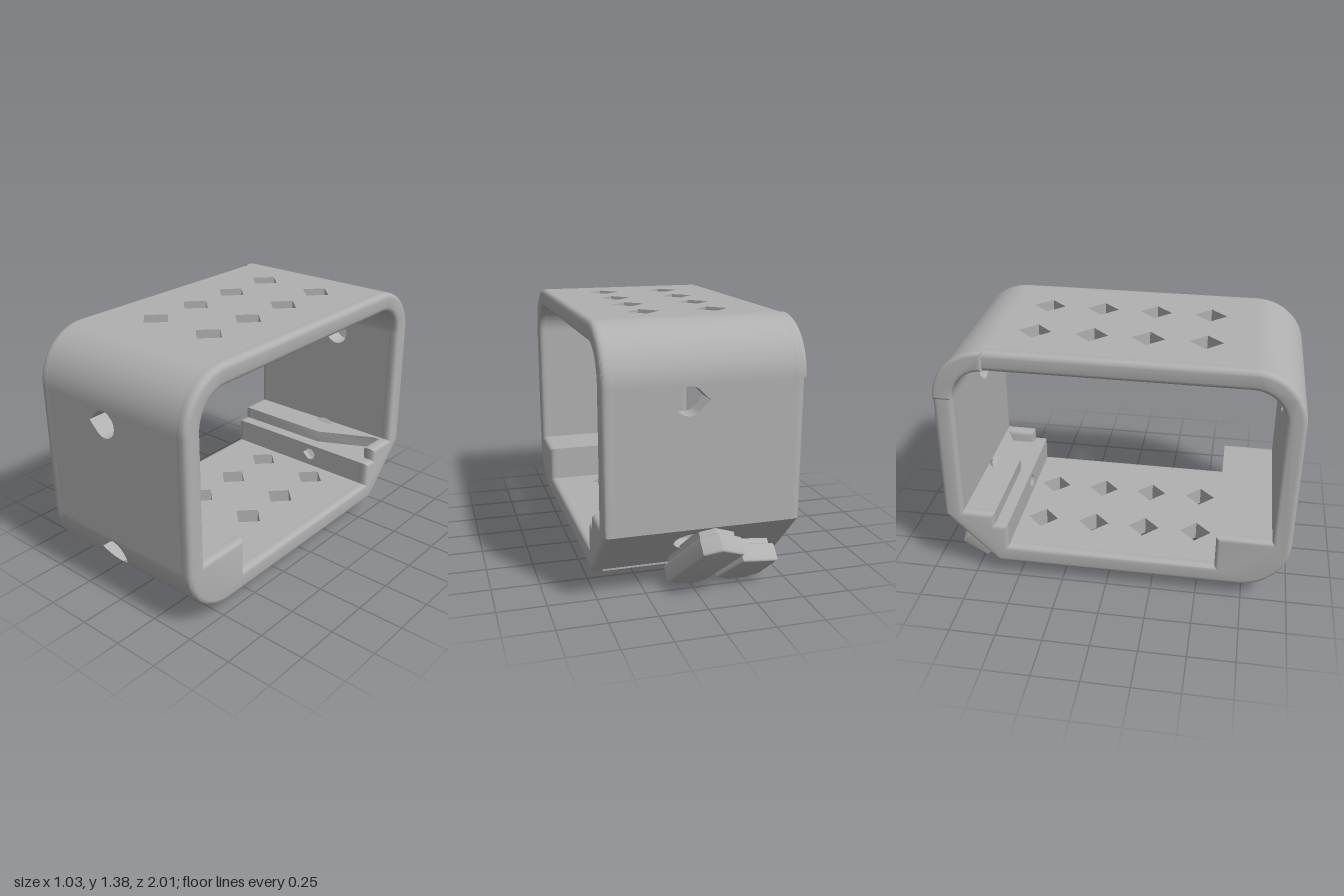
import * as THREE from 'three';
import { toCreasedNormals } from 'three/addons/utils/BufferGeometryUtils.js';

const PI = Math.PI;
const R = 0.28, T = 0.105;                    // corner radius, wall thickness
const ZF = 0.72, ZB = -0.62, YT = 1.095, YB = 0.365; // corner arc centres
const W = 0.45, END = 0.503;                  // half width of panels and of rims

export function createModel() {
  const grey = new THREE.MeshStandardMaterial({ color: 0xb0b0b0, side: THREE.DoubleSide });
  grey.name = 'grey plastic';
  const model = new THREE.Group();
  model.name = 'bracketFrame';
  const body = new THREE.Group();
  body.name = 'body';
  body.rotation.set(0.006, 0.006, 0);
  body.position.z = -0.006;
  model.add(body);

  const add = (name, geo) => {
    const mesh = new THREE.Mesh(toCreasedNormals(geo, 0.6), grey);
    mesh.name = name;
    body.add(mesh);
  };
  const poly = (pts) => new THREE.Shape(pts.map(([a, b]) => new THREE.Vector2(a, b)));
  const rect = (x0, x1, y0, y1) => poly([[x0, y0], [x1, y0], [x1, y1], [x0, y1]]);
  const diamond = (x, y, s) => poly([[x - s, y], [x, y - s], [x + s, y], [x, y + s]]);
  const circle = (x, y, r) => new THREE.Shape().absarc(x, y, r, 0, 2 * PI, false);
  // round hole with a 90 degree point towards -x
  const teardrop = (x, y, r) => {
    const s = new THREE.Shape();
    s.absarc(x, y, r, -0.75 * PI, 0.75 * PI, false);
    s.lineTo(x - r * Math.SQRT2, y);
    s.closePath();
    return s;
  };
  const extrude = (shape, depth, bevel = 0) => new THREE.ExtrudeGeometry(shape, {
    depth: depth - 2 * bevel, curveSegments: 14, bevelEnabled: bevel > 0,
    bevelSize: bevel, bevelThickness: bevel, bevelOffset: -bevel, bevelSegments: 3,
  }).translate(0, 0, bevel);
  // profile drawn as (z, y), swept from x0 to x1
  const alongX = (shape, x0, x1, bevel = 0) =>
    extrude(shape, x1 - x0, bevel).rotateY(-PI / 2).translate(x1, 0, 0);
  const plate = (shape, z0, z1) => extrude(shape, z1 - z0).translate(0, 0, z0);
  const corner = (z, y, a) => {
    const s = new THREE.Shape();
    s.absarc(z, y, R, a, a + PI / 2, false);
    s.absarc(z, y, R - T, a + PI / 2, a, true);
    s.closePath();
    return s;
  };

  // top and bottom panels with diamond openings
  for (const [name, y] of [['topPanel', YT + R - T], ['bottomPanel', YB - R]]) {
    const s = rect(-W, W, -ZF, -ZB);
    for (const x of [-0.19, 0.175])
      for (const z of [-0.42, -0.12, 0.175, 0.475]) s.holes.push(diamond(x, -z, 0.087));
    add(name, extrude(s, T).rotateX(-PI / 2).translate(0, y, 0));
  }

  // front and back walls with teardrop holes
  const front = rect(-W, W, YB, YT);
  front.holes.push(teardrop(-0.04, 1.01, 0.072));
  add('frontWall', plate(front, ZF + R - T, ZF + R));
  const back = rect(-W, W, 0.375, YT);
  back.holes.push(teardrop(0.08, 1.015, 0.072));
  add('backWall', plate(back, ZB - R, ZB - R + T));

  // rounded upper corners and the overhanging lip
  add('topFrontCorner', alongX(corner(ZF, YT, 0), -W, W));
  add('topBackCorner', alongX(corner(ZB, YT, PI / 2), -W, W));
  add('backLip', alongX(corner(ZB, YT, PI / 2), -0.513, -0.46, 0.018));

  // lower front corner: rows around the counterbored hole
  const hx = -0.04, hy = 0.27, hr = 0.072, floorZ = 0.84;
  const pos = [];
  const quad = (a, b, c, d) => pos.push(...a, ...b, ...c, ...a, ...c, ...d);
  const row = (y) => {
    const dy = Math.abs(y - hy), inside = dy < hr;
    const h = inside ? Math.sqrt(hr * hr - dy * dy) : 0;
    const l = inside ? (dy < hr * Math.SQRT1_2 ? hr * Math.SQRT2 - dy : h) : 0;
    return { y, z: ZF + Math.sqrt(Math.max(0, R * R - (YB - y) ** 2)), l: hx - l, r: hx + h };
  };
  const N = 64;
  for (let i = 0; i < N; i++) {
    const a = row(YB - R * Math.sin((PI / 2) * (i + 1) / N));
    const b = row(YB - R * Math.sin((PI / 2) * i / N));
    quad([-W, a.y, a.z], [a.l, a.y, a.z], [b.l, b.y, b.z], [-W, b.y, b.z]);
    quad([a.r, a.y, a.z], [W, a.y, a.z], [W, b.y, b.z], [b.r, b.y, b.z]);
    if (a.r > a.l || b.r > b.l) {
      quad([a.l, a.y, a.z], [a.l, a.y, floorZ], [b.l, b.y, floorZ], [b.l, b.y, b.z]);
      quad([a.r, a.y, floorZ], [a.r, a.y, a.z], [b.r, b.y, b.z], [b.r, b.y, floorZ]);
    }
  }
  const skin = new THREE.BufferGeometry();
  skin.setAttribute('position', new THREE.Float32BufferAttribute(pos, 3));
  skin.computeVertexNormals();
  add('lowerFrontCorner', skin);
  const bore = teardrop(hx, hy, 0.073);
  bore.holes.push(teardrop(hx, hy, 0.036));
  add('screwSeat', plate(bore, 0.61, floorZ));

  // inner front ledge
  const frontFace = rect(-W, W, 0.18, 0.385);
  frontFace.holes.push(teardrop(hx, hy, 0.036));
  add('frontLedgeFace', plate(frontFace, 0.6, 0.63));
  add('frontLedgeTop', alongX(rect(0.62, 0.9, 0.355, 0.385), -W, W));

  // inner back ledge with a tapering upper step
  const backFace = rect(-W, W, 0.15, 0.33);
  backFace.holes.push(teardrop(0.08, 0.265, 0.036));
  add('backLedgeFace', plate(backFace, -0.58, -0.55));
  add('backLedgeTop', alongX(rect(-0.81, -0.56, 0.3, 0.33), -W, W));
  const step = poly([[-W, 0.62], [0.09, 0.62], [0.4, 0.77], [W, 0.77], [W, 0.83], [-W, 0.83]]);
  add('backLedgeStep', extrude(step, 0.08).rotateX(-PI / 2).translate(0, 0.32, 0));

  // rounded rims closing both open sides
  const rim = new THREE.Shape().moveTo(ZF + R, YB);
  rim.absarc(ZF, YT, R, 0, PI / 2, false);
  rim.absarc(ZB, YT, R, PI / 2, PI, false);
  rim.lineTo(-0.9, 0.375);
  rim.lineTo(-0.61, 0.085);
  rim.absarc(ZF, YB, R, 1.5 * PI, 2 * PI, false);
  const opening = new THREE.Path().moveTo(0.6, 0.19);
  opening.lineTo(0.6, 0.385);
  opening.lineTo(0.895, 0.385);
  opening.absarc(ZF, YT, R - T, 0, PI / 2, false);
  opening.absarc(ZB, YT, R - T, PI / 2, PI, false);
  for (const [z, y] of [[-0.795, 0.4], [-0.62, 0.4], [-0.62, 0.33], [-0.55, 0.33], [-0.55, 0.19]])
    opening.lineTo(z, y);
  opening.closePath();
  rim.holes.push(opening);
  add('rightRim', alongX(rim, -END, -END + 0.08, 0.025));
  add('leftRim', alongX(rim, END - 0.08, END, 0.025));

  // sloped lower back face, drawn as (x, distance up the slope)
  const onSlope = (geo) => geo.rotateX(-PI / 4).translate(0, 0.085, -0.61);
  const slope = rect(-W, W, 0, 0.41);
  slope.holes.push(circle(0.04, 0.27, 0.085));
  add('slopedFace', onSlope(extrude(slope, 0.03)));
  const pocket = new THREE.CylinderGeometry(0.085, 0.085, 0.12, 32, 1, true)
    .rotateX(PI / 2).translate(0.04, 0.27, 0.06);
  add('slopePocket', onSlope(pocket));
  add('slopePocketFloor', onSlope(new THREE.CircleGeometry(0.085, 32).translate(0.04, 0.27, 0.12)));

  // two diagonal clip prongs, each a neck with a wider head
  const prongs = {
    longProng: [[0.14, 0.06], [0.03, 0.39], [-0.06, 0.425], [-0.2, 0.34], [-0.07, 0.03], [-0.01, -0.005]],
    shortProng: [[-0.125, 0.05], [-0.22, 0.24], [-0.42, 0.2], [-0.37, 0.03], [-0.3, -0.005], [-0.2, -0.005]],
  };
  for (const [name, pts] of Object.entries(prongs)) {
    const cx = pts.reduce((t, p) => t + p[0], 0) / pts.length;
    const cy = pts.reduce((t, p) => t + p[1], 0) / pts.length;
    const neck = pts.map(([x, y]) => [cx + (x - cx) * 0.85, cy + (y - cy) * 0.9]);
    add(name + 'Neck', onSlope(extrude(poly(neck), 0.08).translate(0, 0, -0.07)));
    add(name + 'Head', onSlope(extrude(poly(pts), 0.1, 0.012).translate(0, 0, -0.132)));
  }
  return model;
}
